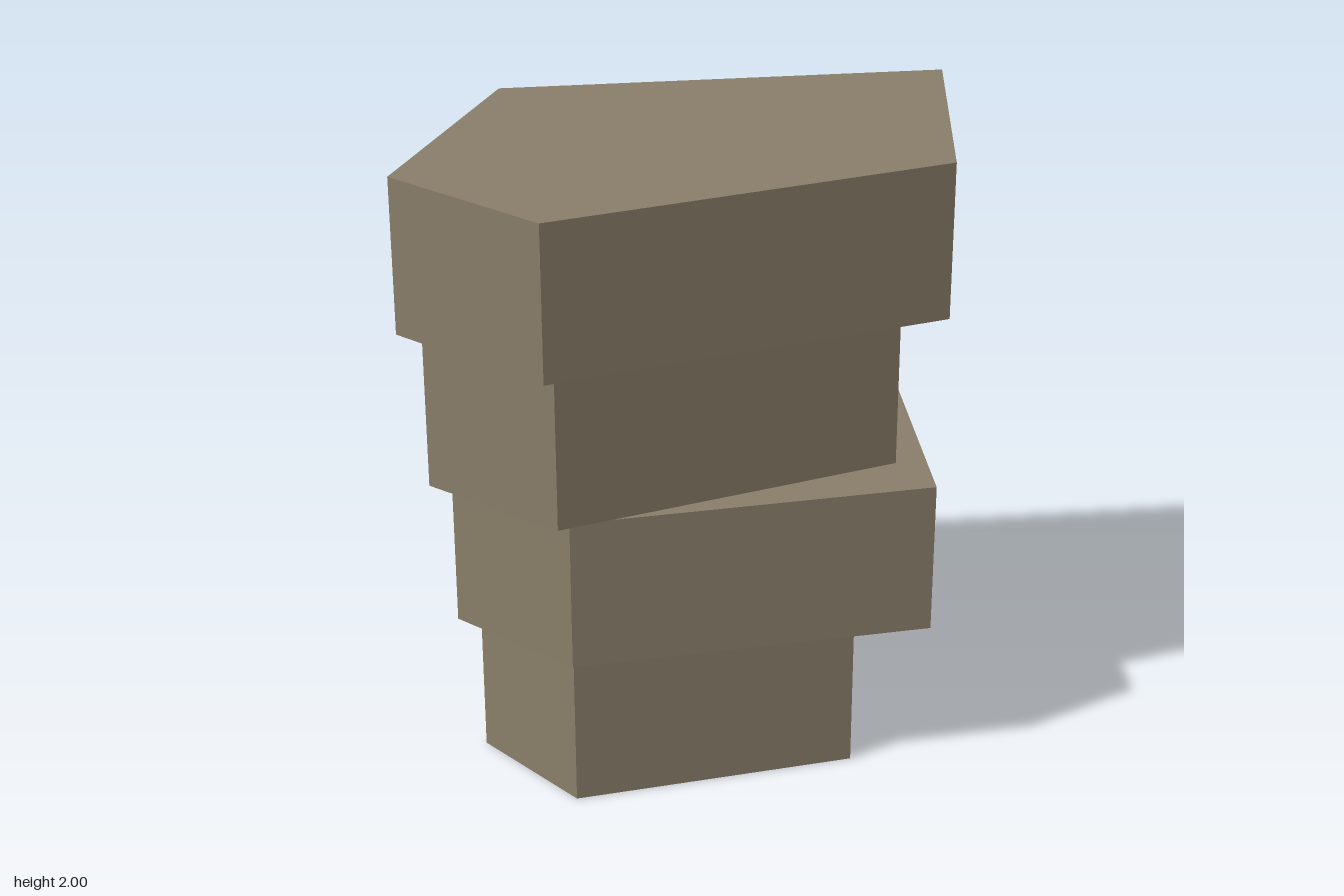
import * as THREE from 'three';

const HEIGHT = 0.493; // thickness of one slab
const PITCH = 0.5023; // rise from one slab to the next

// Five-sided outlines as [x, z], from the bottom slab to the top one
const OUTLINES = [
  [[-0.21, -0.44], [0.59, -0.01], [0.25, 0.49], [-0.59, 0.22], [-0.68, -0.2]],
  [[-0.32, -0.63], [0.795, -0.12], [0.43, 0.64], [-0.61, 0.25], [-0.77, -0.18]],
  [[-0.22, -0.55], [0.7, -0.03], [0.405, 0.465], [-0.665, 0.28], [-0.855, -0.16]],
  [[-0.32, -0.64], [0.915, -0.055], [0.5, 0.575], [-0.72, 0.32], [-0.92, -0.195]],
];

// Upright prism over an outline, standing on y = 0
function prism(outline, height) {
  const shape = new THREE.Shape(outline.map(([x, z]) => new THREE.Vector2(x, -z)));
  const geometry = new THREE.ExtrudeGeometry(shape, { depth: height, bevelEnabled: false });
  return geometry.rotateX(-Math.PI / 2);
}

export function createModel() {
  const model = new THREE.Group();
  model.name = 'rockStack';

  const stone = new THREE.MeshStandardMaterial({ color: 0x8b7f6a });
  stone.name = 'stone';

  // Irregular stone slabs with narrow gaps between them
  OUTLINES.forEach((outline, i) => {
    const slab = new THREE.Mesh(prism(outline, HEIGHT), stone);
    slab.name = `stoneSlab${i + 1}`;
    slab.position.y = i * PITCH;
    model.add(slab);
  });

  return model;
}
